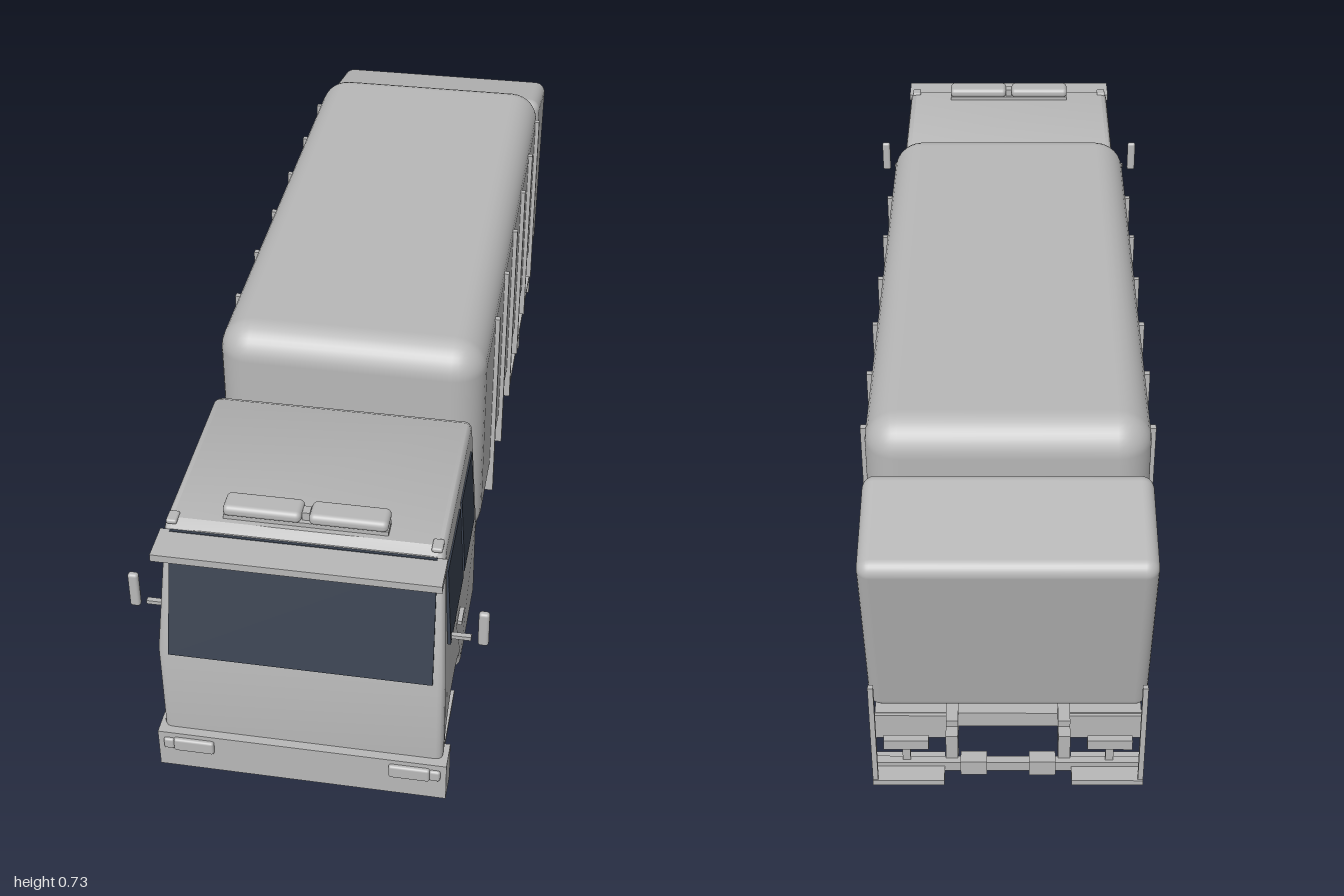
import * as THREE from 'three';
import { toCreasedNormals } from 'three/addons/utils/BufferGeometryUtils.js';
import { RoundedBoxGeometry } from 'three/addons/geometries/RoundedBoxGeometry.js';

const paint = new THREE.MeshStandardMaterial({ color: 0xb8b8b8 });
paint.name = 'grey paint';
const glass = new THREE.MeshStandardMaterial({ color: 0x38404e });
glass.name = 'dark glass';

export function createModel() {
  const truck = new THREE.Group();
  truck.name = 'refuseTruck';

  function add(name, geometry, material = paint, parent = truck) {
    const mesh = new THREE.Mesh(geometry, material);
    mesh.name = name;
    parent.add(mesh);
    return mesh;
  }
  // Box given by its extents on each axis, with optional rounding
  function box(name, [x0, x1], [y0, y1], [z0, z1], radius = 0) {
    const size = [x1 - x0, y1 - y0, z1 - z0];
    const g = radius ? new RoundedBoxGeometry(...size, 4, radius) : new THREE.BoxGeometry(...size);
    return add(name, g.translate((x0 + x1) / 2, (y0 + y1) / 2, (z0 + z1) / 2));
  }
  // The same box on the left (+x) and right (-x)
  function pair(name, [x0, x1], y, z, radius) {
    box(name + 'Left', [x0, x1], y, z, radius);
    box(name + 'Right', [-x1, -x0], y, z, radius);
  }
  function reshape(g, rule) {
    const p = g.attributes.position;
    const v = new THREE.Vector3();
    for (let i = 0; i < p.count; i++) {
      rule(v.fromBufferAttribute(p, i));
      p.setXYZ(i, v.x, v.y, v.z);
    }
    g.computeVertexNormals();
    return g;
  }
  const polygon = (pts) => new THREE.Shape(pts.map((p) => new THREE.Vector2(...p)));

  // Cab: side profile (z, y) with wheel arch, tapering in above the belt line
  const cabHalf = (y) => 0.268 - Math.max(0, y - 0.37) * 0.055;
  const cabFront = (y) => 0.975 - (y - 0.37) * 0.25;
  const profile = polygon([[0.975, 0.165], [0.975, 0.37], [0.919, 0.595], [0.912, 0.615], [0.895, 0.627],
    [0.535, 0.627], [0.515, 0.615], [0.51, 0.59], [0.498, 0.37], [0.497, 0.165], [0.725, 0.165]]);
  for (let i = 1; i < 12; i++) {
    const a = Math.PI * (1 - i / 12);
    profile.lineTo(0.84 + 0.115 * Math.cos(a), 0.165 + 0.073 * Math.sin(a));
  }
  profile.lineTo(0.955, 0.165);
  const bevel = 0.014;
  const cab = new THREE.ExtrudeGeometry(profile, {
    depth: 0.536 - 2 * bevel, bevelEnabled: true, bevelSize: bevel, bevelThickness: bevel,
    bevelOffset: -bevel, bevelSegments: 3,
  });
  cab.translate(0, 0, bevel - 0.268).rotateY(-Math.PI / 2);
  reshape(cab, (v) => { v.x *= cabHalf(v.y) / 0.268; });
  add('cab', toCreasedNormals(cab, 0.6));

  // Glass plates following the slope of the cab
  const plate = { depth: 0.006, bevelEnabled: false };
  const screen = new THREE.ExtrudeGeometry(
    polygon([[-0.246, 0.366], [0.246, 0.366], [0.242, 0.613], [-0.242, 0.613]]), plate);
  add('windscreen', reshape(screen, (v) => { v.z += cabFront(v.y) - 0.002; }), glass);
  const sidePanes = {
    frontWindow: [[0.725, 0.403], [0.908, 0.403], [0.898, 0.572], [0.725, 0.572]],
    rearWindow: [[0.547, 0.403], [0.706, 0.403], [0.706, 0.572], [0.552, 0.572]],
  };
  for (const [name, pts] of Object.entries(sidePanes)) {
    for (const s of [1, -1]) {
      const g = new THREE.ExtrudeGeometry(polygon(pts), plate);
      g.translate(0, 0, -0.003).rotateY(-Math.PI / 2);
      add(name, reshape(g, (v) => { v.x += s * cabHalf(v.y); }), glass);
    }
  }

  // Cab fittings
  box('sunVisor', [-0.26, 0.26], [0.597, 0.612], [0.912, 0.985]);
  box('beaconBase', [-0.15, 0.15], [0.625, 0.636], [0.85, 0.885]);
  pair('beacon', [0.007, 0.15], [0.636, 0.659], [0.842, 0.892], 0.01);
  box('beaconJoint', [-0.007, 0.007], [0.636, 0.653], [0.857, 0.877]);
  pair('markerLight', [0.23, 0.25], [0.621, 0.631], [0.88, 0.91], 0.004);
  pair('doorHandle', [0.265, 0.274], [0.322, 0.331], [0.73, 0.77]);
  pair('mirrorArm', [0.26, 0.305], [0.41, 0.418], [0.89, 0.9]);
  pair('mirror', [0.317, 0.337], [0.402, 0.48], [0.889, 0.903], 0.006);
  box('bumper', [-0.277, 0.277], [0.083, 0.17], [0.935, 0.992]);
  pair('headlight', [0.168, 0.246], [0.13, 0.16], [0.98, 1], 0.005);
  pair('turnSignal', [0.245, 0.266], [0.132, 0.157], [0.98, 0.998], 0.005);

  // Refuse body with upright ribs
  box('body', [-0.268, 0.268], [0.24, 0.73], [-0.725, 0.46], 0.065);
  for (let i = 0; i < 6; i++) {
    const z = 0.24 - i * 0.176;
    pair('bodyRib', [0.255, 0.277], [0.23, 0.678], [z - 0.006, z + 0.006]);
  }

  // Tilted tail hopper
  const hopper = add('hopper', new RoundedBoxGeometry(0.532, 0.44, 0.226, 4, 0.025));
  hopper.position.set(0, 0.43, -0.825);
  hopper.rotation.x = -0.214;

  // Chassis
  pair('chassisRail', [0.095, 0.118], [0.14, 0.195], [-0.925, 0.93]);
  for (const z of [0.6, 0.1, -0.2, -0.56, -0.88]) {
    box('crossMember', [-0.1, 0.1], [0.15, 0.185], [z - 0.015, z + 0.015]);
  }
  pair('bodyMount', [0.095, 0.118], [0.19, 0.25], [-0.68, 0.44]);
  box('gearbox', [-0.07, 0.07], [0.14, 0.23], [0.3, 0.5]);
  box('batteryBox', [-0.25, -0.16], [0.12, 0.22], [0.31, 0.49]);
  const fuel = add('fuelTank', new THREE.CylinderGeometry(0.059, 0.059, 0.24, 32));
  fuel.rotation.x = Math.PI / 2;
  fuel.position.set(0.19, 0.168, 0.41);

  // Wheels: lathed tyre with recessed rim, hub and bolts
  const half = [[0, -0.014], [0.045, -0.014], [0.058, -0.026], [0.062, -0.031], [0.088, -0.031], [0.099, -0.024], [0.105, -0.012]];
  const section = [...half, ...half.slice().reverse().map(([r, y]) => [r, -y])];
  const tyre = toCreasedNormals(
    new THREE.LatheGeometry(section.map((p) => new THREE.Vector2(...p)), 40), 0.7);
  const hub = new THREE.CylinderGeometry(0.018, 0.022, 0.02, 20);
  const bolt = new THREE.CylinderGeometry(0.003, 0.003, 0.008, 6);
  function wheel(name, x, z) {
    const group = new THREE.Group();
    group.name = name;
    add('tyre', tyre, paint, group);
    add('hub', hub, paint, group).position.y = 0.02;
    for (let i = 0; i < 8; i++) {
      const a = (i * Math.PI) / 4;
      add('bolt', bolt, paint, group).position.set(0.033 * Math.cos(a), 0.017, 0.033 * Math.sin(a));
    }
    group.rotation.z = -Math.sign(x) * Math.PI / 2;
    group.position.set(x, 0.107, z);
    truck.add(group);
  }
  for (const z of [0.84, -0.42, -0.695]) {
    for (const s of [1, -1]) {
      wheel(z > 0 ? 'frontWheel' : 'rearOuterWheel', s * 0.209, z);
      if (z < 0) wheel('rearInnerWheel', s * 0.15, z);
    }
    const axle = add('axle', new THREE.CylinderGeometry(0.016, 0.016, 0.36, 16));
    axle.rotation.z = Math.PI / 2;
    axle.position.set(0, 0.107, z);
  }

  // Guard plates and mud flaps beside the wheels
  pair('frontGuard', [0.12, 0.262], [0.118, 0.128], [0.755, 0.93]);
  pair('rearGuard', [0.12, 0.262], [0.11, 0.12], [-0.83, -0.28]);
  for (const z of [-0.56, -0.833]) pair('mudFlap', [0.12, 0.262], [0.057, 0.118], [z - 0.004, z + 0.004]);

  // Rear steps, grab posts, bars and lamps
  pair('rearStep', [0.12, 0.255], [0.1, 0.112], [-0.998, -0.925]);
  pair('grabPost', [0.245, 0.255], [0.1, 0.35], [-0.995, -0.985]);
  box('rearBar', [-0.25, 0.25], [0.1, 0.122], [-0.962, -0.945]);
  pair('barBracket', [0.095, 0.118], [0.1, 0.18], [-0.95, -0.915]);
  pair('tailLamp', [0.15, 0.235], [0.155, 0.178], [-0.96, -0.945]);
  pair('lampBracket', [0.185, 0.2], [0.11, 0.16], [-0.955, -0.947]);
  pair('reflector', [0.04, 0.09], [0.095, 0.13], [-0.968, -0.94]);

  return truck;
}
